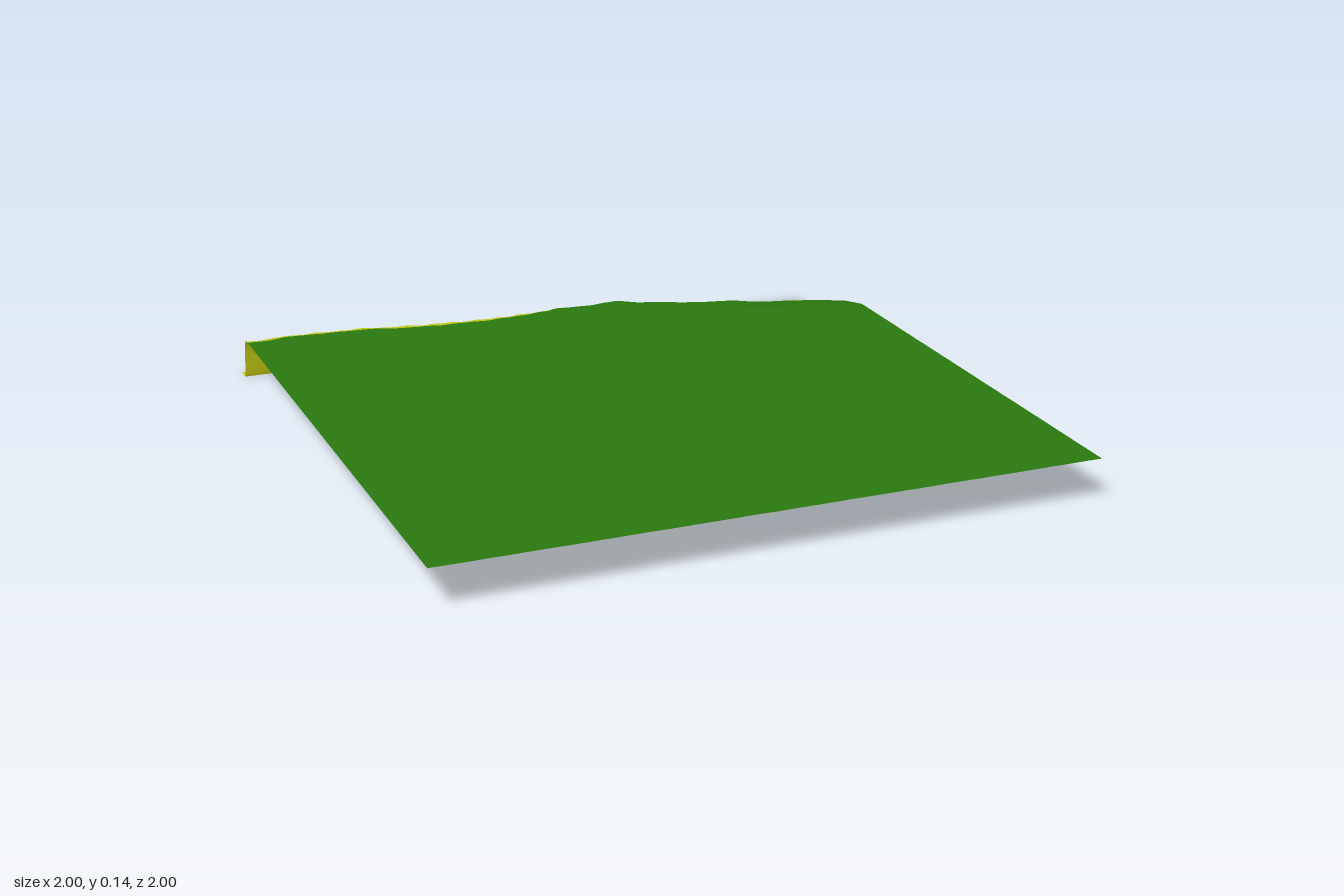
import * as THREE from 'three';

const TOP = 0.137;
const COLS = 160;

// Plan outlines as [x, z]: grass edge and cliff foot
const EDGE = [[-1, -0.89], [-0.93, -0.885], [-0.88, -0.9], [-0.8, -0.893], [-0.6, -0.875], [-0.5, -0.845],
  [-0.38, -0.825], [-0.2, -0.812], [-0.08, -0.82], [0, -0.83], [0.03, -0.845], [0.12, -0.832], [0.25, -0.842],
  [0.32, -0.8], [0.42, -0.77], [0.5, -0.747], [0.62, -0.738], [0.72, -0.7], [0.82, -0.688], [0.92, -0.665], [1, -0.625]];
const FOOT = [[-1, -0.955], [-0.62, -0.953], [-0.58, -0.942], [0.18, -0.94], [0.26, -0.91], [0.35, -0.88],
  [0.45, -0.855], [0.56, -0.815], [0.66, -0.785], [0.75, -0.757], [0.93, -0.755], [1, -0.75]];

// Cliff sections as [run, height] fractions from grass edge to foot
const STEEP = [[0, 1], [0.25, 0.985], [0.48, 0.95], [0.62, 0.8], [0.74, 0.55], [0.86, 0.26], [0.93, 0.1], [1, 0]];
const WORN = [[0, 1], [0.14, 0.92], [0.28, 0.76], [0.38, 0.55], [0.46, 0.34], [0.58, 0.2], [0.76, 0.07], [1, 0]];

function sample(table, x) {
  let i = 1;
  while (i < table.length - 1 && x > table[i][0]) i++;
  const [x0, z0] = table[i - 1], [x1, z1] = table[i];
  return THREE.MathUtils.mapLinear(x, x0, x1, z0, z1);
}

const ripple = (x) => 0.004 * Math.sin(x * 47) + 0.003 * Math.sin(x * 83 + 1);
const edgeZ = (x) => sample(EDGE, x) + 0.5 * ripple(x) * (1 - x * x);
const footZ = (x) => sample(FOOT, x);
const edgeY = (x) => TOP - 0.026 * THREE.MathUtils.smoothstep(x, 0.25, 1);

// Surface lofted through one cross-section per x; each runs from front to back
function loft(name, section, color) {
  const pos = [], index = [];
  let rows = 0;
  for (let c = 0; c <= COLS; c++) {
    const x = -1 + 2 * c / COLS;
    const points = section(x, c);
    rows = points.length;
    for (const [y, z] of points) pos.push(x, y, z);
  }
  for (let c = 0; c < COLS; c++) {
    for (let r = 0; r < rows - 1; r++) {
      const a = c * rows + r, b = a + rows;
      index.push(a, b, a + 1, b, b + 1, a + 1);
    }
  }
  const geo = new THREE.BufferGeometry();
  geo.setAttribute('position', new THREE.Float32BufferAttribute(pos, 3));
  geo.setIndex(index);
  geo.computeVertexNormals();
  const mesh = new THREE.Mesh(geo, new THREE.MeshStandardMaterial({ color, side: THREE.DoubleSide }));
  mesh.name = name;
  return mesh;
}

// Level grass that dips toward the cliff edge
function grassSection(x) {
  const e = edgeZ(x), pts = [];
  const start = e + 0.12;
  for (let i = 0; i <= 40; i++) {
    const z = THREE.MathUtils.lerp(1, start, i / 40);
    pts.push([TOP - 0.0003 * (1 + Math.sin(x * 31 + z * 17) * Math.sin(z * 29 - x * 11)), z]);
  }
  for (let i = 1; i <= 6; i++) {
    const t = i / 6;
    pts.push([THREE.MathUtils.lerp(TOP - 0.0003, edgeY(x), t), start - 0.12 * t]);
  }
  return pts;
}

// Cliff face, steep on the right side and worn on the left, fluted at the far end
function cliffSection(x, c) {
  const e = edgeZ(x), f = footZ(x), h = edgeY(x);
  const wear = THREE.MathUtils.smoothstep(x, -0.9, 0.9);
  const flute = x > 0.935 ? (c % 2 ? 0.022 : -0.022) : 0;
  return STEEP.map(([s, v], i) => {
    const run = THREE.MathUtils.lerp(s, WORN[i][0], wear);
    const height = THREE.MathUtils.lerp(v, WORN[i][1], wear);
    const bulge = Math.sin(Math.PI * run);
    const z = e + (f - e) * run + bulge * (1.5 * ripple(x + height * 0.06) * (1 - 0.6 * Math.abs(x)) + flute);
    return [h * height, z];
  });
}

// Flat sand from the cliff foot to the back edge
const sandSection = (x) => [0, 0.5, 1].map((t) => [0, THREE.MathUtils.lerp(footZ(x), -1, t)]);

export function createModel() {
  const group = new THREE.Group();
  group.name = 'coastalTerrain';
  group.add(
    loft('grassPlateau', grassSection, 0x2a7a0f),
    loft('cliffFace', cliffSection, 0xc6ce14),
    loft('sandStrip', sandSection, 0xc6ce14),
  );
  return group;
}
